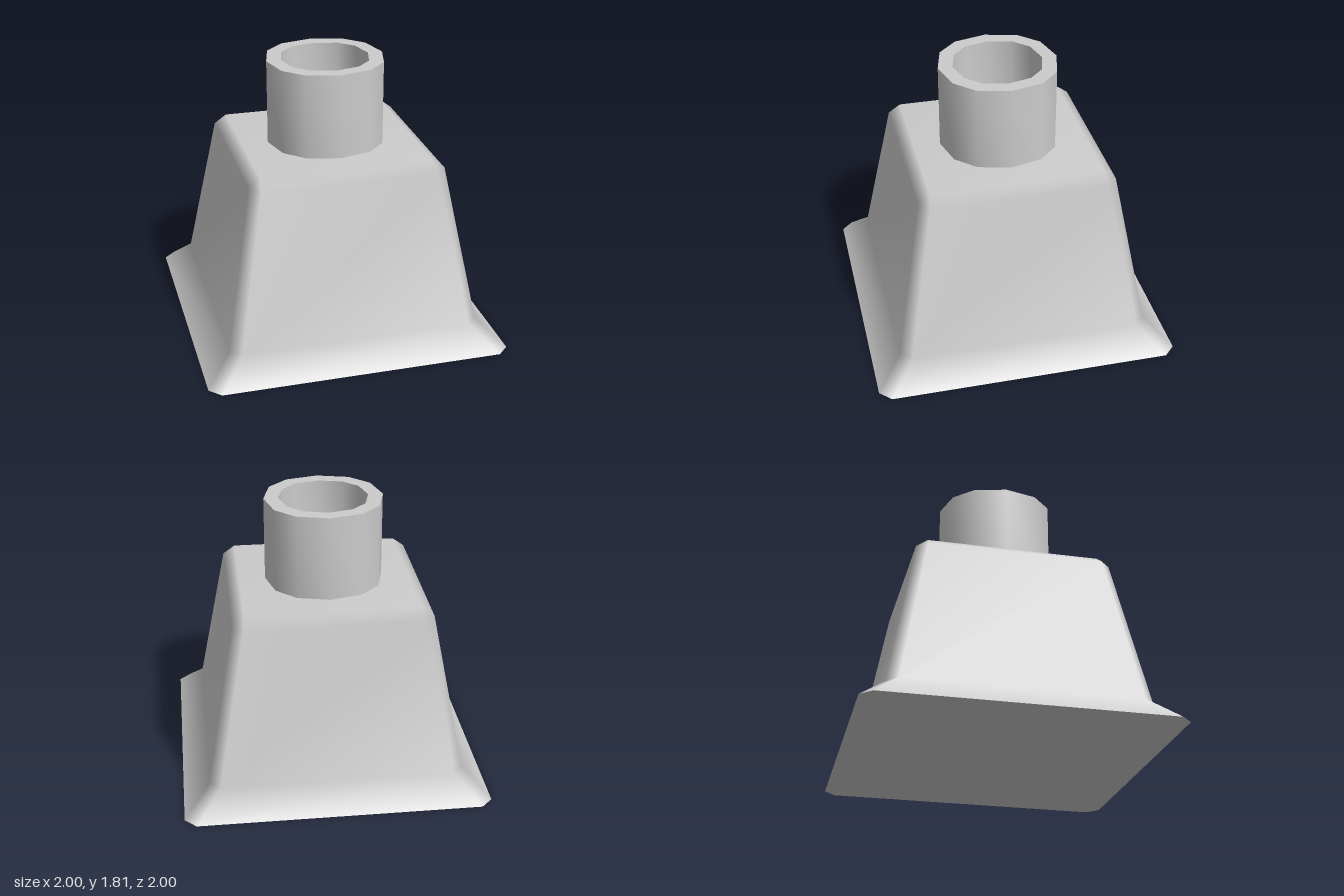
import * as THREE from 'three';
import { mergeVertices, toCreasedNormals } from 'three/addons/utils/BufferGeometryUtils.js';

const material = new THREE.MeshStandardMaterial({ color: 0xcccccc });

// Square ring with cut corners: half width h, corner cut starting at c
function ring(h, c, y) {
  return [[h, c], [c, h], [-c, h], [-h, c], [-h, -c], [-c, -h], [c, -h], [h, -c]]
    .map(([x, z]) => [x, y, z]);
}

// Skin between rings stacked upwards, with a flat cap on top
function loft(rings) {
  const index = [];
  const n = rings[0].length;
  for (let r = 0; r < rings.length - 1; r++) {
    for (let i = 0; i < n; i++) {
      const a = r * n + i, b = r * n + (i + 1) % n;
      index.push(a, a + n, b, b, a + n, b + n);
    }
  }
  const top = (rings.length - 1) * n;
  for (let i = 1; i < n - 1; i++) index.push(top, top + i + 1, top + i);
  const geometry = new THREE.BufferGeometry();
  geometry.setAttribute('position', new THREE.Float32BufferAttribute(rings.flat(2), 3));
  geometry.setIndex(index);
  // Welded corners give soft, area-weighted bevels
  const welded = mergeVertices(geometry);
  welded.computeVertexNormals();
  return welded;
}

// Twelve-sided outline, slightly squared off between the axes
function outline(radius, PathType) {
  const points = [];
  for (let q = 0; q < 4; q++) {
    for (const [deg, k] of [[0, 1], [32, 1.02], [58, 1.02]]) {
      const a = THREE.MathUtils.degToRad(deg + q * 90);
      points.push(new THREE.Vector2(Math.cos(a), Math.sin(a)).multiplyScalar(radius * k));
    }
  }
  return new PathType(points);
}

export function createModel() {
  const model = new THREE.Group();
  const add = (name, geometry) => {
    const mesh = new THREE.Mesh(geometry, material);
    mesh.name = name;
    model.add(mesh);
    return mesh;
  };

  // Tapered body with flared foot and bevelled shoulder
  add('body', loft([
    ring(1, 0.925, 0),
    ring(0.83, 0.76, 0.165),
    ring(0.643, 0.575, 1.19),
    ring(0.565, 0.565, 1.25),
  ]));

  // Flat underside
  const base = new THREE.Shape(ring(1, 0.925, 0).map(([x, , z]) => new THREE.Vector2(x, z)));
  add('underside', new THREE.ShapeGeometry(base).rotateX(Math.PI / 2));

  // Hollow collar standing on the body
  const collar = outline(0.39, THREE.Shape);
  collar.holes.push(outline(0.293, THREE.Path));
  const tube = new THREE.ExtrudeGeometry(collar, { depth: 0.56, bevelEnabled: false });
  tube.rotateX(-Math.PI / 2);
  add('collar', toCreasedNormals(tube, 0.55)).position.y = 1.25;

  return model;
}
